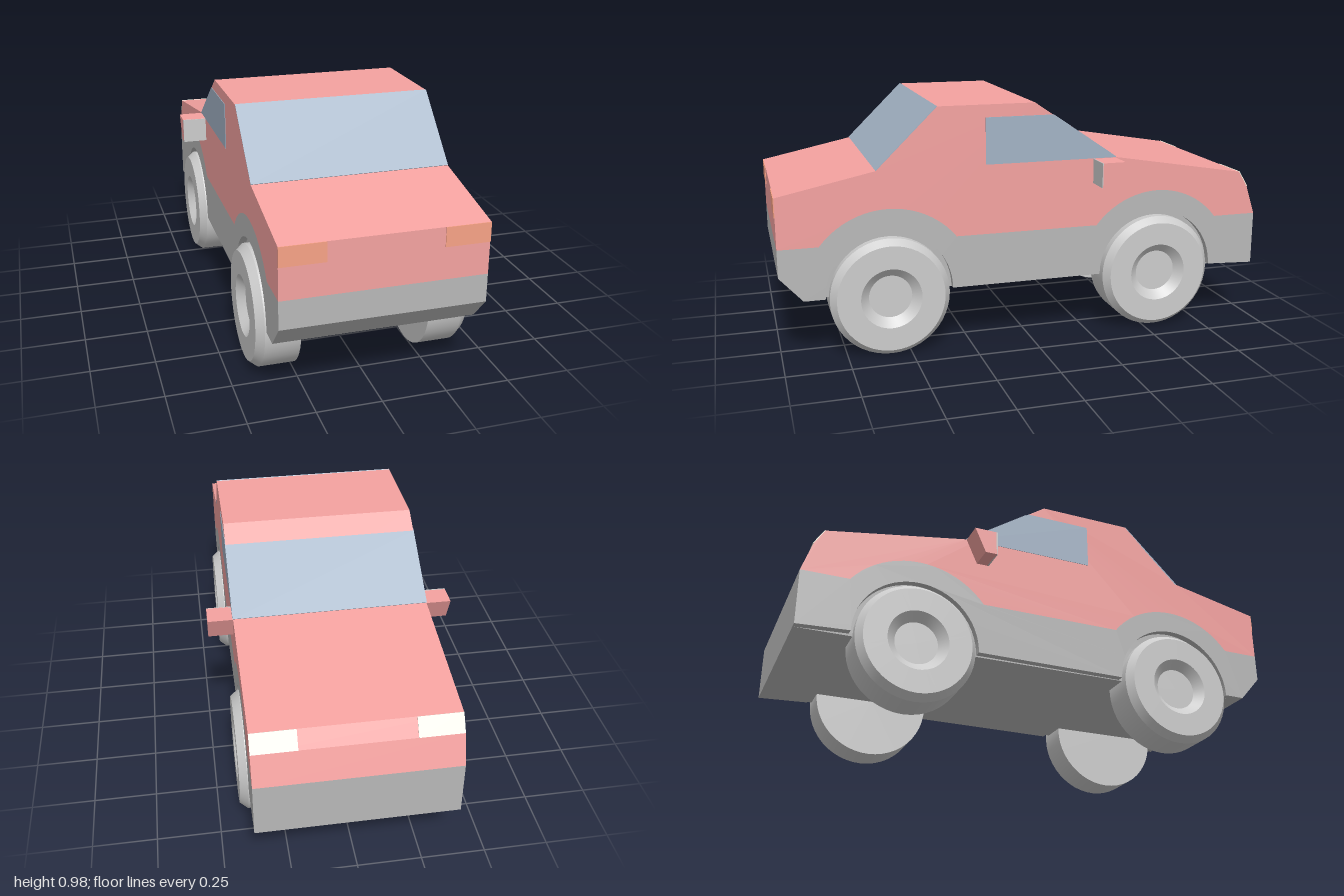
import * as THREE from 'three';
import { toCreasedNormals } from 'three/addons/utils/BufferGeometryUtils.js';

const HALF = 0.385;                 // half width of the body
const AXLES = [-0.545, 0.577];      // z of the front and rear axle
const AXLE_Y = 0.25;

const material = (color) => new THREE.MeshStandardMaterial({ color });
const red = material(0xf4a2a0);
const grey = material(0xb8b8b8);
const light = material(0xcccccc);
const glass = material(0xa2b2c4);
const lamp = material(0xf8f9e6);
const tail = material(0xf8a286);

// Points of a circular arc in the (z, y) plane
function arc(cz, cy, r, from, to, steps = 20) {
  return Array.from({ length: steps + 1 }, (_, i) => {
    const t = from + ((to - from) * i) / steps;
    return [cz + r * Math.cos(t), cy + r * Math.sin(t)];
  });
}

// Extrude a (z, y) outline across the car from x0 to x1
function across(name, points, x0, x1, mat) {
  const shape = new THREE.Shape(points.map(([z, y]) => new THREE.Vector2(z, y)));
  const geo = new THREE.ExtrudeGeometry(shape, { depth: x1 - x0, bevelEnabled: false });
  geo.rotateY(-Math.PI / 2);
  geo.translate(x1, 0, 0);
  const mesh = new THREE.Mesh(geo, mat);
  mesh.name = name;
  return mesh;
}

// Thin panel lying on the body surface between two profile points
function panel(name, a, b, x0, x1, mat) {
  const dz = b[0] - a[0], dy = b[1] - a[1];
  const k = 0.003 / Math.hypot(dz, dy);
  const off = ([z, y], s) => [z + dy * k * s, y - dz * k * s];
  return across(name, [off(a, -1), off(b, -1), off(b, 1), off(a, 1)], x0, x1, mat);
}

function wheelGeometry() {
  // Radius and distance from the car's centre line
  const profile = [
    [0, 0.25], [0.236, 0.25], [0.236, 0.387], [0.212, 0.417],
    [0.12, 0.417], [0.085, 0.385], [0, 0.385],
  ].map(([r, x]) => new THREE.Vector2(r, x));
  return toCreasedNormals(new THREE.LatheGeometry(profile, 48), 0.4);
}

export function createModel() {
  const car = new THREE.Group();
  car.name = 'car';

  // Painted upper body with wheel arch cut-outs
  const a = Math.asin(0.21 / 0.34);
  const archFB = AXLES.flatMap((z) => arc(z, AXLE_Y, 0.34, Math.PI - a, a));
  car.add(across('upperBody', [
    [-1, 0.46], ...archFB, [1, 0.46], [1, 0.66], [0.62, 0.74], [0.38, 0.975],
    [-0.01, 0.975], [-0.355, 0.74], [-0.92, 0.645], [-0.96, 0.58],
  ], -HALF, HALF, red));

  // Grey lower body: solid core plus side skins with shallow wheel wells
  const top = [[0.91, 0.25], [1, 0.35], [1, 0.46], ...archFB.slice().reverse(), [-1, 0.46]];
  const wells = AXLES.flatMap((z) => arc(z, AXLE_Y, 0.25, Math.PI, 0, 32));
  const skin = HALF - 0.03;
  car.add(across('lowerBody', [[-1, 0.24], ...top], -skin, skin, grey));
  car.add(across('lowerSideLeft', [[-1, 0.24], ...wells, ...top], skin, HALF, grey));
  car.add(across('lowerSideRight', [[-1, 0.24], ...wells, ...top], -HALF, -skin, grey));

  // Windows
  car.add(panel('windshield', [-0.355, 0.74], [-0.09, 0.92], -HALF, HALF, glass));
  car.add(panel('rearWindow', [0.38, 0.975], [0.62, 0.74], -HALF, HALF, glass));
  car.add(across('sideWindows', [
    [0.19, 0.74], [-0.355, 0.74], [-0.083, 0.925], [0.19, 0.925],
  ], -HALF - 0.002, HALF + 0.002, glass));

  // Parts repeated on each side
  const wheel = wheelGeometry();
  for (const s of [1, -1]) {
    const side = s > 0 ? 'Left' : 'Right';
    const span = (x0, x1) => (s > 0 ? [x0, x1] : [-x1, -x0]);

    car.add(panel('headlight' + side, [-0.96, 0.58], [-0.92, 0.645], ...span(0.215, HALF), lamp));
    car.add(panel('tailLight' + side, [1, 0.585], [1, 0.66], ...span(0.215, HALF), tail));

    car.add(across('mirror' + side, [
      [-0.262, 0.738], [-0.355, 0.738], [-0.31, 0.638], [-0.262, 0.638],
    ], ...span(HALF - 0.005, 0.484), red));
    car.add(panel('mirrorGlass' + side, [-0.262, 0.638], [-0.262, 0.738], ...span(HALF, 0.484), light));

    AXLES.forEach((z, i) => {
      const mesh = new THREE.Mesh(wheel, light);
      mesh.name = (i ? 'rearWheel' : 'frontWheel') + side;
      mesh.rotation.z = (-s * Math.PI) / 2;
      mesh.position.set(0, i ? 0.238 : 0.244, z);
      car.add(mesh);
    });
  }
  return car;
}
